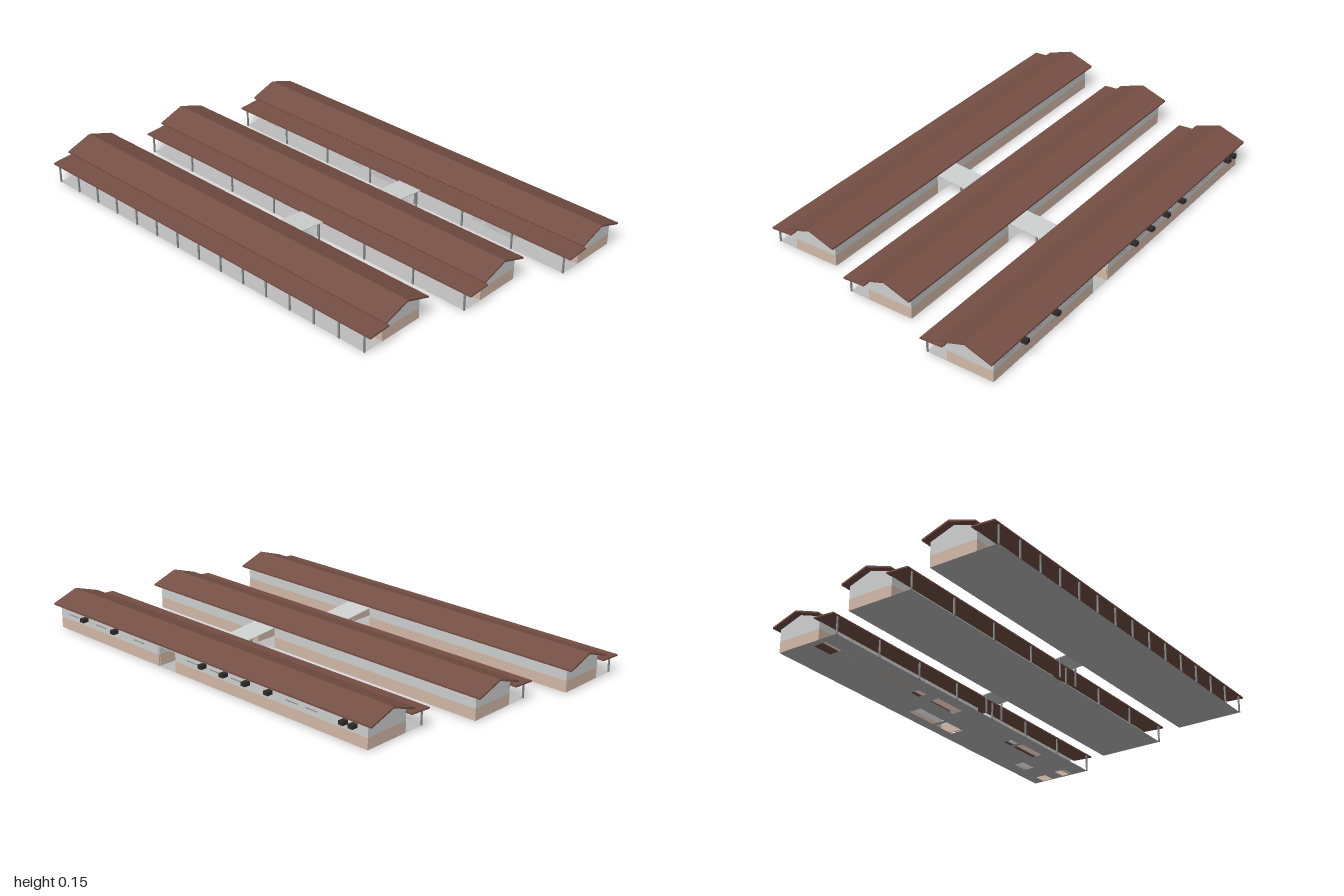
import * as THREE from 'three';

const mat = (name, color, side = THREE.FrontSide) => {
  const m = new THREE.MeshStandardMaterial({ color, side });
  m.name = name;
  return m;
};

export function createModel() {
  const roofBrown = mat('roofBrown', 0x764f45);
  const wallGrey = mat('wallGrey', 0xcdd1d0, THREE.DoubleSide);
  const wallTan = mat('wallTan', 0xd3b9a8, THREE.DoubleSide);
  const floorGrey = mat('floorGrey', 0xbcbcbc, THREE.DoubleSide);
  const postGrey = mat('postGrey', 0x8a8d8e);
  const darkGrey = mat('darkGrey', 0x2e2a2a);

  const model = new THREE.Group();
  model.name = 'schoolBlocks';
  const FLOOR = 0.005, SPLIT = 0.052, TOP = 0.105, T = 0.005;

  const add = (parent, name, geo, material) => {
    const mesh = new THREE.Mesh(geo, material);
    mesh.name = name;
    parent.add(mesh);
    return mesh;
  };
  // box given by its lower and upper corners
  const box = (parent, name, material, x0, x1, y0, y1, z0, z1) =>
    add(parent, name, new THREE.BoxGeometry(x1 - x0, y1 - y0, z1 - z0)
      .translate((x0 + x1) / 2, (y0 + y1) / 2, (z0 + z1) / 2), material);
  // [z, y] profile swept along x
  const prism = (parent, name, material, profile, x0, x1) => {
    const shape = new THREE.Shape(profile.map(([z, y]) => new THREE.Vector2(-z, y)));
    const geo = new THREE.ExtrudeGeometry(shape, { depth: x1 - x0, bevelEnabled: false });
    return add(parent, name, geo.rotateY(Math.PI / 2).translate(x0, 0, 0), material);
  };
  // long wall in two colours, left open over the corridor
  const longWall = (parent, name, x0, x1, z, [g0, g1]) => {
    for (const [a, b] of [[x0, g0], [g1, x1]]) {
      box(parent, name + 'Base', wallTan, a, b, FLOOR, SPLIT, z - T / 2, z + T / 2);
      box(parent, name + 'Upper', wallGrey, a, b, SPLIT, TOP, z - T / 2, z + T / 2);
    }
    box(parent, name + 'Lintel', wallGrey, g0, g1, 0.088, TOP, z - T / 2, z + T / 2);
  };

  function block({ name, c, x0, x1, corridor, posts, doors, holes = [] }) {
    const g = new THREE.Group();
    g.name = name;
    model.add(g);
    const w0 = x0 + 0.03, w1 = x1 - 0.03, back = c - 0.1, front = c + 0.1;

    // floor sheet running out under the porch
    const rect = (P, a, b, p, q) =>
      new P([[a, -p], [b, -p], [b, -q], [a, -q]].map(v => new THREE.Vector2(...v)));
    const floor = rect(THREE.Shape, w0, w1, back, c + 0.19);
    floor.holes = holes.map(h => rect(THREE.Path, ...h));
    add(g, 'floor', new THREE.ShapeGeometry(floor).rotateX(-Math.PI / 2).translate(0, FLOOR, 0), floorGrey);

    // walls
    longWall(g, 'backWall', w0, w1, back + T / 2, corridor);
    longWall(g, 'frontWall', w0, w1, front - T / 2, corridor);
    const gable = [[back, SPLIT], [front, SPLIT], [front, TOP], [c, 0.139], [back, TOP]];
    for (const x of [w0, w1 - T]) {
      box(g, 'gableBase', wallTan, x, x + T, FLOOR, SPLIT, back, front);
      prism(g, 'gableUpper', wallGrey, gable, x, x + T);
    }
    for (const x of corridor) {
      box(g, 'corridorBase', wallTan, x - T / 2, x + T / 2, FLOOR, SPLIT, back + T, front - T);
      box(g, 'corridorUpper', wallGrey, x - T / 2, x + T / 2, SPLIT, TOP, back + T, front - T);
    }
    for (const x of doors)
      box(g, 'door', wallGrey, x - 0.02, x + 0.02, FLOOR, 0.08, front, front + 0.002);

    // main roof and porch roof
    prism(g, 'mainRoof', roofBrown, [
      [c + 0.115, 0.101], [c + 0.115, 0.108], [c, 0.147],
      [c - 0.115, 0.108], [c - 0.115, 0.101], [c, 0.14]], x0, x1);
    prism(g, 'porchRoof', roofBrown, [
      [c + 0.195, 0.078], [c + 0.195, 0.084], [c + 0.097, 0.09], [c + 0.097, 0.084]], x0, x1);

    // porch posts
    for (let i = 0; i < posts; i++) {
      const x = w0 + 0.003 + (w1 - w0 - 0.006) * i / (posts - 1);
      box(g, 'porchPost', postGrey, x - 0.003, x + 0.003, 0.004, 0.081, c + 0.186, c + 0.192);
    }
    return g;
  }

  block({ name: 'frontBlock', c: 0.41, x0: -1, x1: 0.79, corridor: [0.03, 0.13],
    posts: 15, doors: [-0.8, -0.3, 0.28, 0.41] });
  block({ name: 'middleBlock', c: -0.03, x0: -0.915, x1: 0.88, corridor: [0.15, 0.25],
    posts: 8, doors: [-0.7, -0.2, 0.4, 0.7] });
  const rear = block({ name: 'rearBlock', c: -0.48, x0: -0.8, x1: 0.995, corridor: [0.24, 0.34],
    posts: 8, doors: [-0.6, -0.1, 0.5, 0.8],
    holes: [
      [0.89, 0.955, -0.42, -0.37], [0.9, 0.96, -0.53, -0.48], [0.71, 0.79, -0.52, -0.47],
      [0.53, 0.68, -0.4, -0.35], [0.46, 0.51, -0.4, -0.36], [0.14, 0.25, -0.53, -0.47],
      [-0.04, 0.12, -0.53, -0.47], [-0.08, 0.08, -0.39, -0.345], [-0.19, -0.14, -0.4, -0.36],
      [-0.74, -0.65, -0.43, -0.37]] });

  // cooling units and window ledges on the rear wall
  for (const x of [-0.71, -0.665, -0.29, -0.17, -0.05, 0.07, 0.6, 0.795])
    box(rear, 'coolingUnit', darkGrey, x - 0.011, x + 0.011, 0.075, 0.091, -0.606, -0.58);
  for (const x of [-0.5, -0.4, -0.11, 0.01, 0.14, 0.46, 0.7, 0.88])
    box(rear, 'windowLedge', postGrey, x - 0.03, x + 0.03, 0.074, 0.077, -0.583, -0.58);

  // sloping covered walkways between the blocks
  for (const [x0, x1, z0, z1] of [[0.02, 0.14, 0.165, 0.31], [0.14, 0.255, -0.285, -0.13]]) {
    const g = new THREE.Group();
    g.name = 'walkway';
    model.add(g);
    prism(g, 'walkwayRoof', wallGrey,
      [[z0, 0.081], [z1, 0.095], [z1, 0.098], [z0, 0.084]], x0, x1);
    for (const x of [x0 + 0.004, x1 - 0.004])
      box(g, 'walkwayPost', postGrey, x - 0.003, x + 0.003, 0, 0.083, z0 + 0.017, z0 + 0.023);
  }
  return model;
}
